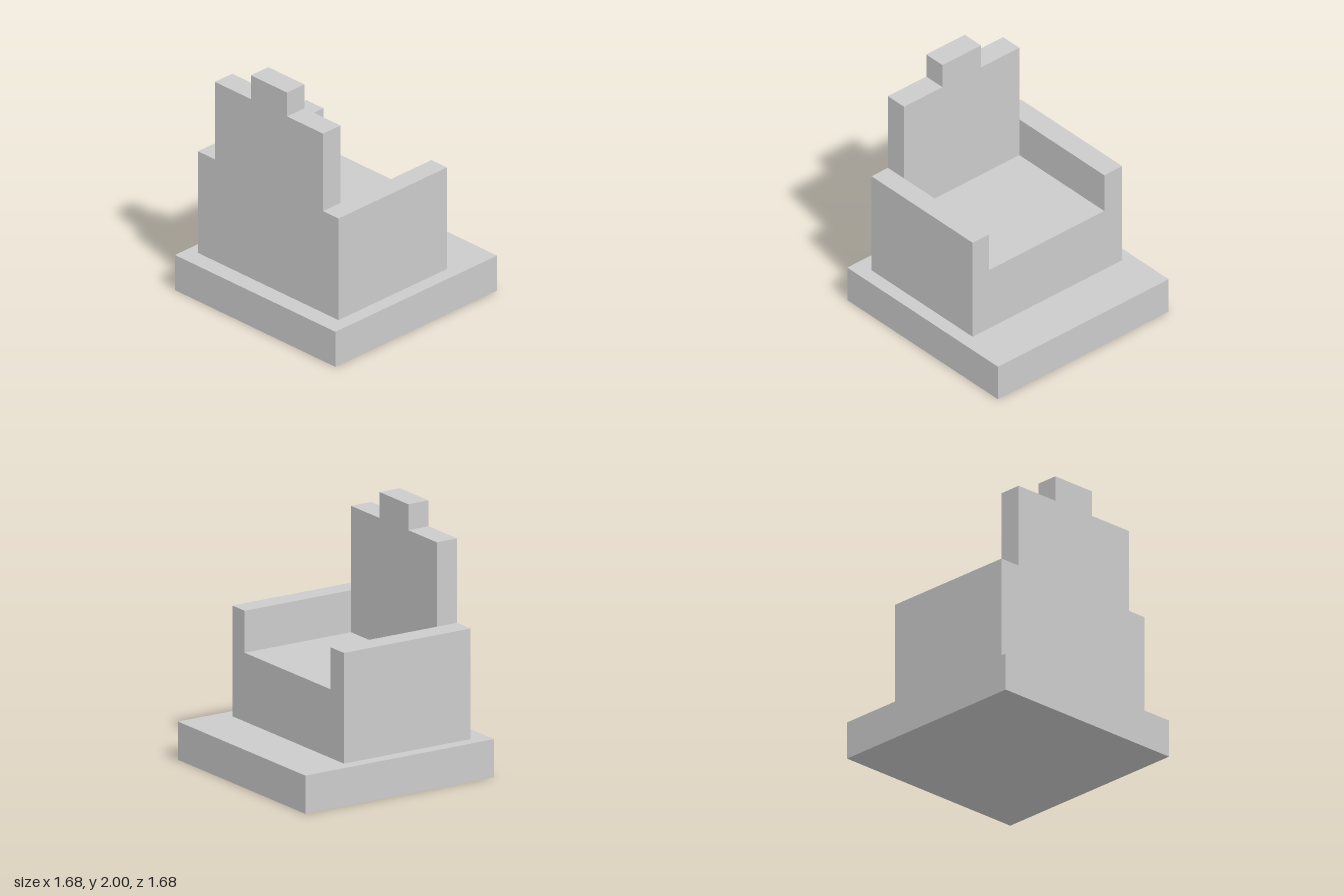
import * as THREE from 'three';

const material = new THREE.MeshStandardMaterial({ color: 0xcccccc, flatShading: true });

// Extrudes a [z, y] outline along x, from x0 to x1
function extrudeAlongX(name, outline, x0, x1) {
  const shape = new THREE.Shape(outline.map(([z, y]) => new THREE.Vector2(-z, y)));
  const geometry = new THREE.ExtrudeGeometry(shape, { depth: x1 - x0, bevelEnabled: false });
  geometry.rotateY(Math.PI / 2).translate(x0, 0, 0);
  const mesh = new THREE.Mesh(geometry, material);
  mesh.name = name;
  return mesh;
}

export function createModel() {
  const group = new THREE.Group();
  group.name = 'throne';

  const baseTop = 0.295, seatTop = 0.825, armTop = 1.149, shoulder = 1.8, top = 2;
  const back = -0.698, inner = 0.568, crest = 0.19;

  // Square plinth
  const plinth = new THREE.Mesh(new THREE.BoxGeometry(1.684, baseTop, 1.684), material);
  plinth.name = 'plinth';
  plinth.position.y = baseTop / 2;
  group.add(plinth);

  // Seat block with an armrest on each side
  group.add(extrudeAlongX('seatAndArmrests', [
    [0.73, baseTop], [-0.745, baseTop], [-0.745, armTop], [-inner, armTop],
    [-inner, seatTop], [inner, seatTop], [inner, armTop], [0.73, armTop],
  ], back, 0.432));

  // Stepped backrest standing between the armrests
  group.add(extrudeAlongX('backrest', [
    [inner, seatTop], [-inner, seatTop], [-inner, shoulder], [-crest, shoulder],
    [-crest, top], [crest, top], [crest, shoulder], [inner, shoulder],
  ], back, -0.517));

  return group;
}
